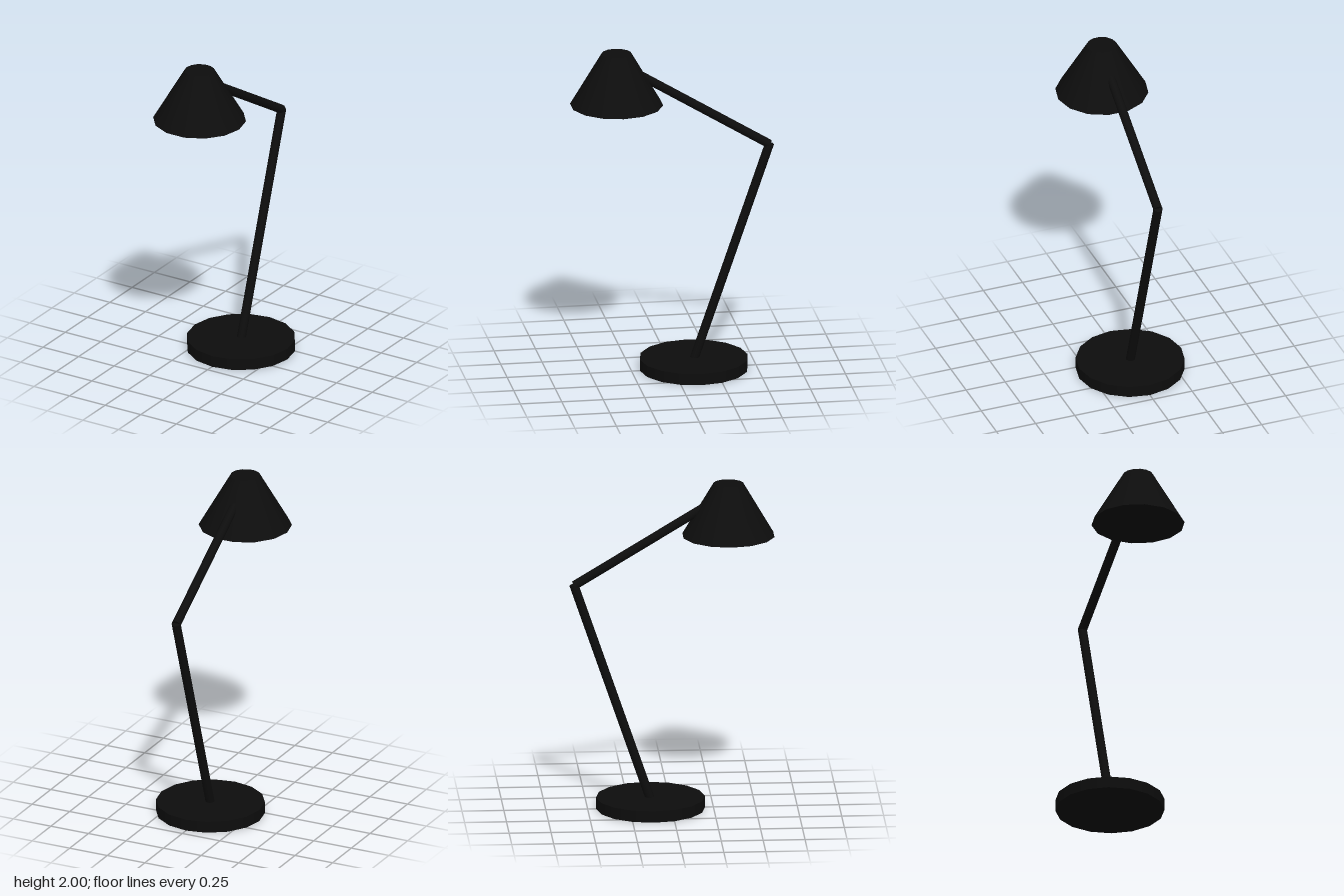
import * as THREE from 'three';

export function createModel() {
  const lamp = new THREE.Group();
  lamp.name = 'deskLamp';

  const black = new THREE.MeshStandardMaterial({ color: 0x0d0d0d });
  black.name = 'black';

  const add = (name, geometry) => {
    const mesh = new THREE.Mesh(geometry, black);
    mesh.name = name;
    lamp.add(mesh);
    return mesh;
  };

  // Round rod between two points in the x = 0 plane, given as [y, z]
  const addRod = (name, [y0, z0], [y1, z1], radius = 0.027) => {
    const from = new THREE.Vector3(0, y0, z0);
    const to = new THREE.Vector3(0, y1, z1);
    const rod = add(name, new THREE.CylinderGeometry(radius, radius, from.distanceTo(to), 16));
    rod.position.lerpVectors(from, to, 0.5);
    rod.quaternion.setFromUnitVectors(new THREE.Vector3(0, 1, 0), to.sub(from).normalize());
  };

  // Heavy disc base
  add('base', new THREE.CylinderGeometry(0.325, 0.325, 0.07, 16)).position.set(0, 0.035, -0.125);

  // Two arms meeting at the elbow
  addRod('lowerArm', [0.03, -0.117], [1.39, -0.583]);
  addRod('upperArm', [1.385, -0.579], [1.893, 0.258]);

  // Conical shade with a corner on each side
  const shade = new THREE.CylinderGeometry(0.09, 0.278, 0.32, 14, 1, false, Math.PI / 2);
  add('shade', shade).position.set(0, 1.84, 0.34);

  return lamp;
}
